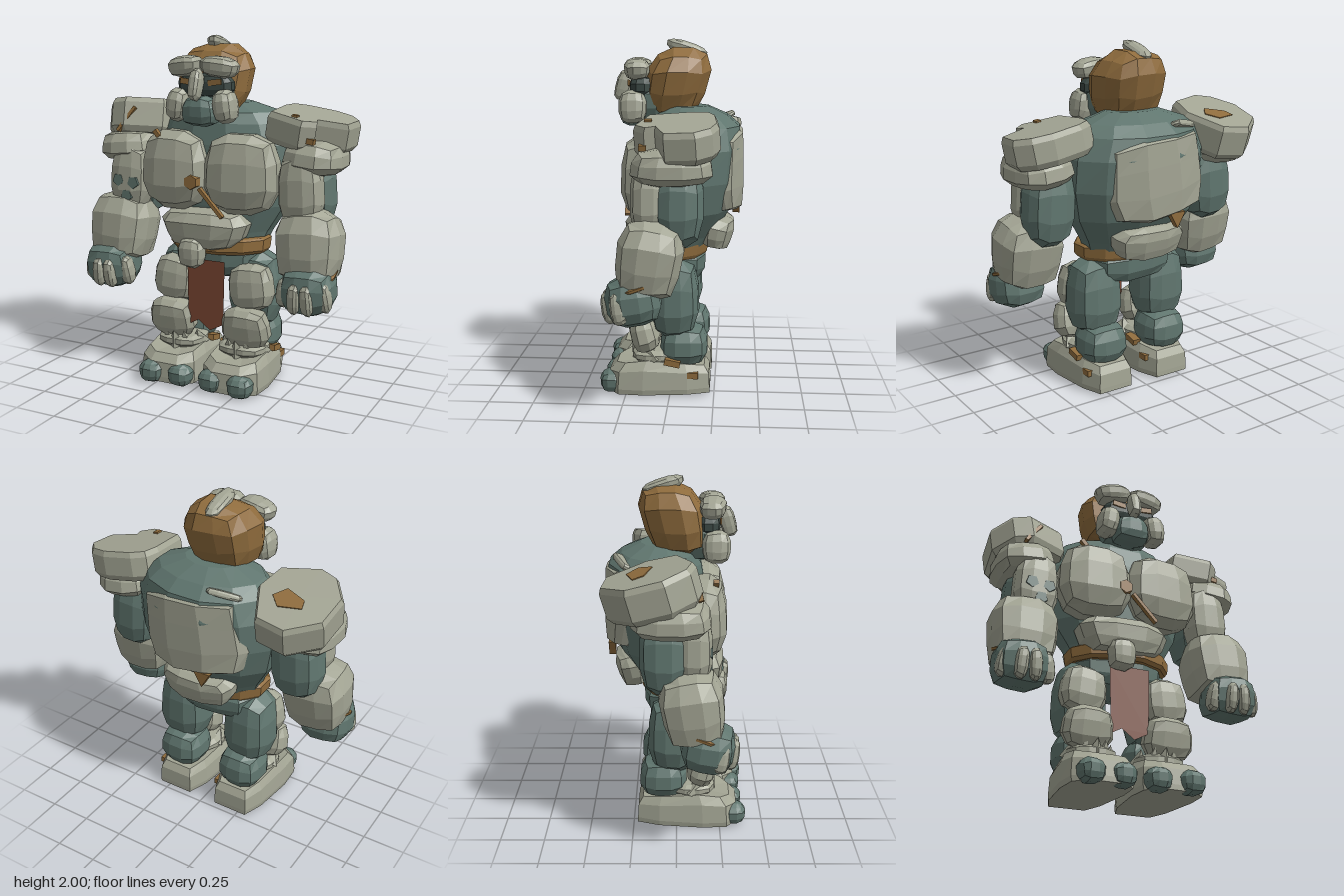
import * as THREE from 'three';

const mat = (name, color, extra = {}) => {
  const m = new THREE.MeshStandardMaterial({ color, flatShading: true, ...extra });
  m.name = name;
  return m;
};

export function createModel() {
  const stone = mat('pale stone', 0xa3a594);
  const slate = mat('slate skin', 0x60766f);
  const ochre = mat('ochre', 0x8f6c3d);
  const cloth = mat('rust cloth', 0x7a4632, { side: THREE.DoubleSide });
  const dark = mat('dark socket', 0x3a4743);
  const root = new THREE.Group();
  root.name = 'stoneGiant';

  const add = (name, geo, material, pos = [0, 0, 0], rot = [0, 0, 0]) => {
    const mesh = new THREE.Mesh(geo, material);
    mesh.name = name;
    mesh.position.set(...pos);
    mesh.rotation.set(...rot);
    root.add(mesh);
    return mesh;
  };

  // Faceted boulder: a divided cube rounded to a superellipsoid, slightly uneven
  const rock = (name, m, pos, half, rot, { p = 2.7, n = 3, rough = 0.045, warp } = {}) => {
    const box = new THREE.BoxGeometry(2, 2, 2, n, n, n);
    const a = box.attributes.position, v = new THREE.Vector3();
    for (let i = 0; i < a.count; i++) {
      v.fromBufferAttribute(a, i);
      const len = (Math.abs(v.x) ** p + Math.abs(v.y) ** p + Math.abs(v.z) ** p) ** (1 / p);
      const wob = Math.sin(v.x * 5.1 + pos[0] * 9) + Math.sin(v.y * 4.3 + pos[1] * 7) + Math.sin(v.z * 6.2 + 1);
      v.multiplyScalar((1 + wob * rough / 2) / len);
      v.set(v.x * half[0], v.y * half[1], v.z * half[2]);
      if (warp) warp(v);
      a.setXYZ(i, v.x, v.y, v.z);
    }
    const geo = box.toNonIndexed();
    geo.computeVertexNormals();
    return add(name, geo, m, pos, rot);
  };

  // Closed skin through rings of equal point count, listed bottom to top
  const loft = (rings) => {
    const out = [], n = rings[0].length;
    const mid = (r) => [0, 1, 2].map((k) => r.reduce((s, q) => s + q[k], 0) / n);
    const top = rings[rings.length - 1], lo = mid(rings[0]), hi = mid(top);
    for (let i = 0; i < n; i++) {
      const j = (i + 1) % n;
      for (let r = 0; r + 1 < rings.length; r++) {
        const [a, b, c, d] = [rings[r][i], rings[r][j], rings[r + 1][j], rings[r + 1][i]];
        out.push(b, a, d, b, d, c);
      }
      out.push(lo, rings[0][i], rings[0][j], hi, top[j], top[i]);
    }
    const geo = new THREE.BufferGeometry();
    geo.setAttribute('position', new THREE.Float32BufferAttribute(out.flat(), 3));
    geo.computeVertexNormals();
    return geo;
  };
  const oval = (y, w, front, back, n = 12) => Array.from({ length: n }, (_, i) => {
    const t = ((i + 0.5) / n) * Math.PI * 2;
    return [w * 1.03 * Math.cos(t), y, (front + back) / 2 + (front - back) / 2 * 1.03 * Math.sin(t)];
  });

  // Torso, hips and belt
  add('torso', loft([
    oval(0.78, 0.25, 0.12, -0.16), oval(0.9, 0.3, 0.14, -0.24), oval(1.05, 0.39, 0.16, -0.33),
    oval(1.22, 0.43, 0.17, -0.38), oval(1.4, 0.425, 0.16, -0.4), oval(1.52, 0.37, 0.14, -0.38),
    oval(1.58, 0.31, 0.11, -0.31), oval(1.63, 0.16, 0.03, -0.2)]), slate);
  rock('hips', slate, [0, 0.74, -0.01], [0.27, 0.12, 0.18]);
  add('belt', loft([oval(0.78, 0.285, 0.2, -0.19), oval(0.8, 0.3, 0.215, -0.2),
    oval(0.86, 0.305, 0.215, -0.21), oval(0.87, 0.29, 0.2, -0.19)]), ochre);
  rock('buckleStone', stone, [-0.065, 0.79, 0.23], [0.08, 0.09, 0.065]);
  const flap = new THREE.Shape([[-0.12, 0.74], [-0.115, 0.34], [-0.05, 0.375], [0.025, 0.32],
    [0.11, 0.365], [0.12, 0.74]].map((q) => new THREE.Vector2(...q)));
  add('loincloth', new THREE.ShapeGeometry(flap), cloth, [0, 0, 0.19]);

  // Chest, belly and back plates
  rock('belly', stone, [-0.02, 0.92, 0.12], [0.265, 0.125, 0.15], [0, 0, 0], { warp: (v) => { v.x *= 1 + v.y; } });
  for (const s of [-1, 1]) rock('pectoral', stone, [s * 0.205, 1.245, 0.135], [0.22, 0.235, 0.145], [0, s * 0.08, 0]);
  const curve = (v) => { v.z += 0.85 * v.x * v.x; };
  rock('upperBackPlate', stone, [-0.01, 1.28, -0.352], [0.32, 0.235, 0.06], [0, 0, -0.1], { p: 5, warp: curve });
  rock('neckPlate', stone, [-0.2, 1.55, -0.29], [0.1, 0.02, 0.04], [0.5, 0.45, 0], { p: 4 });
  rock('lowerBackPlate', stone, [0, 0.91, -0.275], [0.23, 0.1, 0.075], [-0.25, 0, 0], { p: 3.5, warp: curve });
  add('backChip', new THREE.CylinderGeometry(0.06, 0.06, 0.04, 3), ochre, [-0.11, 1.05, -0.365], [Math.PI / 2, 0, 0]);

  // Head: leans back as it rises and narrows to the rear
  rock('head', ochre, [-0.02, 1.765, -0.02], [0.215, 0.205, 0.18], [0, 0, -0.05], {
    p: 2.5, warp: (v) => { v.x *= 1 + v.z * 0.7; v.z -= v.y * 0.22; },
  });
  rock('crest', stone, [-0.04, 1.95, -0.075], [0.05, 0.04, 0.12], [-0.3, 0, 0], { p: 2.3 });
  // Face
  rock('faceBase', slate, [-0.005, 1.66, 0.12], [0.16, 0.13, 0.1]);
  rock('eyeSocket', dark, [0, 1.735, 0.175], [0.165, 0.065, 0.07], [0, 0, 0], { p: 3.5, rough: 0 });
  rock('muzzle', slate, [-0.005, 1.598, 0.22], [0.11, 0.085, 0.085], [0, 0, 0], { warp: (v) => { v.x *= 1 - v.y * 1.5; } });
  rock('nose', stone, [-0.008, 1.745, 0.285], [0.037, 0.09, 0.045], [-0.3, 0, 0]);
  for (const s of [-1, 1]) {
    rock('brow', stone, [-0.007 + s * 0.105, 1.84, 0.2], [0.112, 0.06, 0.072], [0, s * 0.12, -s * 0.12], { p: 2.4 });
    rock('cheek', stone, [-0.005 + s * 0.145, 1.628, 0.22], [0.066, 0.096, 0.08], [0, 0, s * 0.15], { p: 2.4 });
    add('eye', new THREE.BoxGeometry(0.08, 0.032, 0.009), ochre, [s * 0.085, 1.757, 0.245], [0, 0, s * 0.12]);
  }

  for (const s of [-1, 1]) {
    // Arms
    rock('shoulderStone', stone, [s * 0.585, 1.35, -0.03], [0.175, 0.1, 0.21], [0, 0, -s * 0.1]);
    rock('upperArm', slate, [s * 0.54, 1.15, -0.065], [0.145, 0.24, 0.13], [0, 0, s * 0.06]);
    rock('upperArmPlate', stone, [s * 0.54, 1.17, 0.09], [0.13, 0.22, 0.1], [0, 0, s * 0.05]);
    rock('forearm', stone, [s * 0.6, 0.87, 0.085], [0.19, 0.21, 0.17], [-0.15, 0, s * 0.05], { p: 3 });
    rock('wristBand', ochre, [s * 0.627, 0.735, 0.14], [0.15, 0.022, 0.115], [0.35, 0, 0], { p: 3 });
    rock('hand', slate, [s * 0.63, 0.65, 0.17], [0.155, 0.135, 0.145], [0.15, 0, 0]);
    [[0.735, 0.63, 0.235], [0.66, 0.615, 0.29], [0.585, 0.615, 0.29], [0.505, 0.63, 0.235]].forEach(([x, y, z], i) =>
      rock('finger', stone, [s * x, y, z], [i % 3 ? 0.038 : 0.045, 0.09, 0.046], [0.15, 0, s * (i - 1.5) * -0.1], { p: 2.4 }));

    // Legs
    rock('thigh', slate, [s * 0.225, 0.555, -0.02], [0.155, 0.235, 0.14]);
    rock('calf', slate, [s * 0.21, 0.28, -0.075], [0.14, 0.125, 0.135]);
    rock('thighPlate', stone, [s * 0.245, 0.59, 0.095], [0.135, 0.14, 0.095], [0, 0, s * 0.1]);
    rock('shinPlate', stone, [s * 0.237, 0.36, 0.15], [0.148, 0.125, 0.08], [0.25, 0, 0]);
    rock('ankleStone', stone, [s * 0.2, 0.225, 0.09], [0.145, 0.045, 0.13]);
    for (let i = -2; i <= 2; i++)
      add('ankleShard', new THREE.ConeGeometry(0.055, 0.1, 4), stone,
        [s * 0.2 + i * 0.055, 0.25, 0.2 - i * i * 0.022], [0.5, i, 0]);

    // Feet: wide front, rounded heel, gently sloped instep
    const sole = [[0.155, -0.1], [0.185, 0.15], [0.175, 0.29], [0.09, 0.355], [-0.09, 0.355], [-0.175, 0.29],
      [-0.185, 0.15], [-0.155, -0.1], [-0.11, -0.225], [0.11, -0.225]];
    const top = (z) => (z > 0.2 ? 0.22 - (z - 0.2) * 0.25 : z < 0 ? 0.205 + z * 0.13 : 0.215);
    add('foot', loft([
      sole.map(([x, z]) => [x * 0.97, 0.02, z]), sole.map(([x, z]) => [x, 0.05, z]),
      sole.map(([x, z]) => [x * 0.96, top(z) * 0.75, z * 0.98]),
      sole.map(([x, z]) => [x * 0.82, top(z), z * 0.86])]), stone, [s * 0.2, 0, 0]);
    for (const [x, z] of [[0.285, 0.33], [0.1, 0.315]])
      rock('toe', slate, [s * x, 0.075, z], [0.077, 0.07, 0.072], [0, 0, 0], { p: 2.2 });
    add('footChip', new THREE.BoxGeometry(0.05, 0.035, 0.09), ochre, [s * 0.2 + 0.14, 0.205, -0.015], [-0.2, 0, 0]);
    add('footChip', new THREE.BoxGeometry(0.04, 0.035, 0.06), ochre, [s * 0.2 + 0.13, 0.13, -0.13]);
  }

  // Shoulder slabs with bevelled rims
  const slab = (name, outline, pos, h, rot) => {
    const ring = (y, k) => outline.map(([x, z]) => [(x - pos[0]) * k, y, (z - pos[2]) * k]);
    return add(name, loft([ring(-h, 0.9), ring(-h + 0.035, 1), ring(h - 0.03, 1), ring(h, 0.94)]), stone, pos, rot);
  };
  const rightSlab = slab('rightShoulderSlab', [[-0.76, -0.245], [-0.6, -0.385], [-0.425, -0.36], [-0.32, -0.13],
    [-0.36, 0.045], [-0.575, 0.13], [-0.68, 0.095], [-0.775, -0.04]], [-0.55, 1.48, -0.13], 0.102, [-0.27, 0, 0.06]);
  slab('leftShoulderSlab', [[0.34, -0.225], [0.42, -0.265], [0.6, -0.28], [0.71, -0.245], [0.78, -0.16], [0.765, 0],
    [0.6, 0.055], [0.62, 0.11], [0.55, 0.17], [0.33, 0.105], [0.32, -0.13]], [0.55, 1.49, -0.06], 0.087, [0.06, 0, -0.17]);
  const patch = [[-0.065, -0.07], [0.06, -0.105], [0.12, -0.04], [0.07, 0.035], [-0.05, -0.01]];
  const patchMesh = add('slabPatch', loft([0.099, 0.107].map((y) => patch.map(([x, z]) => [x, y, z]))), ochre);
  rightSlab.add(patchMesh);

  // Ochre veins and chips
  const vein = (x, y, z, len, tilt, w = 0.02, lean = 0) =>
    add('vein', new THREE.BoxGeometry(w, len, 0.03), ochre, [x, y, z], [lean, 0, tilt]);
  vein(-0.565, 1.513, 0.108, 0.175, -0.6, 0.02, -0.27);
  vein(-0.278, 1.435, 0.215, 0.1, 0.72, 0.025);
  vein(0.065, 1.09, 0.255, 0.21, 0.75);
  add('chestChip', new THREE.CylinderGeometry(0.042, 0.045, 0.05, 6), ochre, [-0.055, 1.2, 0.25], [Math.PI / 2, 0, 0]);
  add('slabChip', new THREE.BoxGeometry(0.03, 0.03, 0.04), ochre, [0.5, 1.573, 0.1], [0, 0, -0.17]);
  add('slabChip', new THREE.BoxGeometry(0.04, 0.03, 0.04), ochre, [0.6, 1.45, 0.12], [0, 0, -0.17]);
  for (const [x, y] of [[-0.585, 1.16], [-0.485, 1.15], [-0.53, 1.07]])
    add('barePatch', new THREE.CylinderGeometry(0.038, 0.038, 0.03, 5), slate, [x, y, 0.175], [Math.PI / 2, 0, 0]);
  return root;
}
